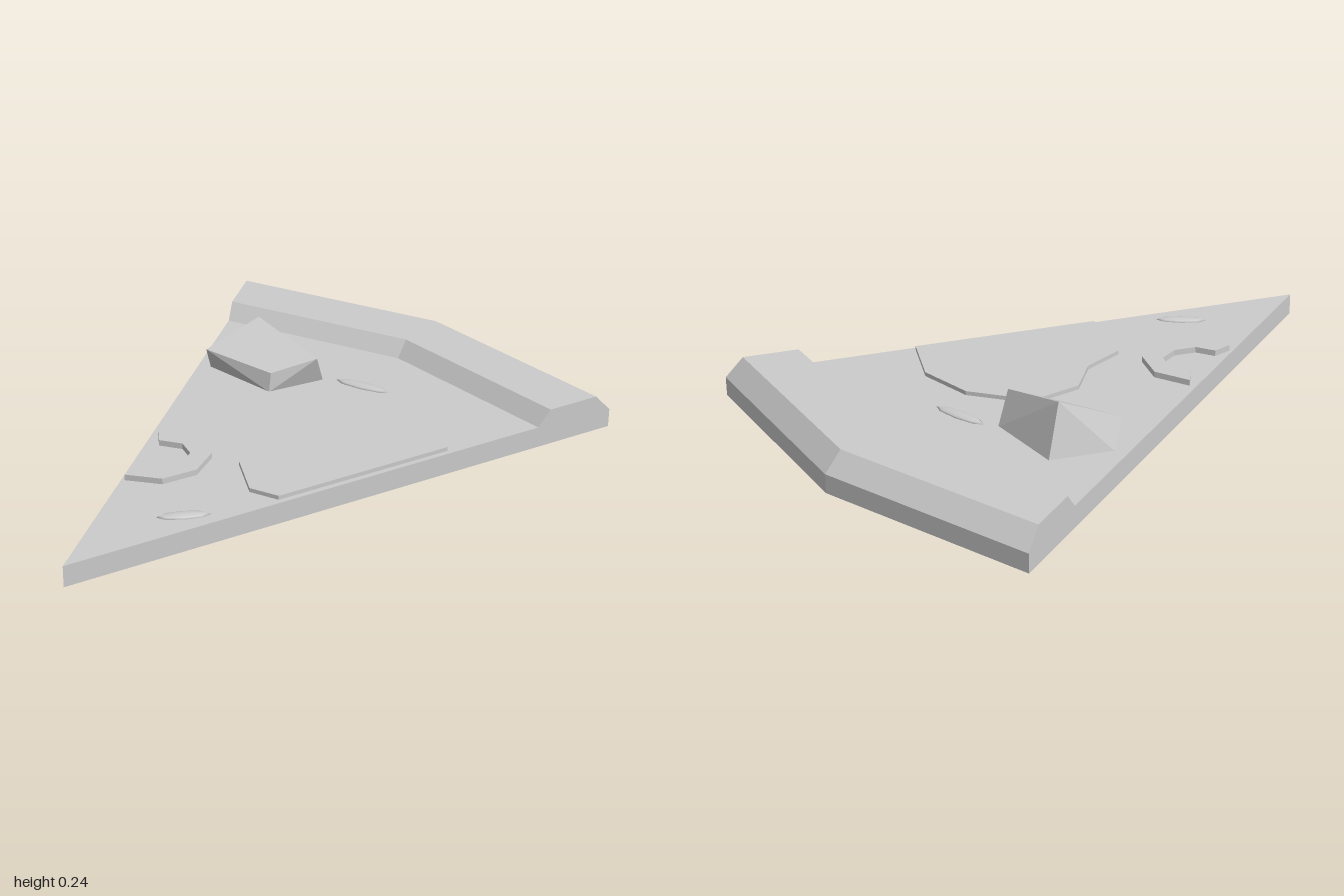
import * as THREE from 'three';
import { ConvexGeometry } from 'three/addons/geometries/ConvexGeometry.js';

const material = new THREE.MeshStandardMaterial({ color: 0xcccccc, flatShading: true });
const smooth = new THREE.MeshStandardMaterial({ color: 0xcccccc });
const TOP = 0.073; // height of the flat slice surface

// Sweep a counter-clockwise profile of [fraction from tip to rim, height] across three rays
function wedge(profile) {
  const rim = [[-0.76, -1.85], [0, -2], [0.76, -1.85]];
  const rings = rim.map(([rx, rz]) => profile.map(([s, y]) => [rx * s, y, 1 + rz * s]));
  const pos = [];
  const tri = (a, b, c) => pos.push(...a, ...b, ...c);
  const n = profile.length;
  for (let r = 0; r < 2; r++) {
    for (let i = 0; i < n; i++) {
      const j = (i + 1) % n;
      tri(rings[r][i], rings[r][j], rings[r + 1][j]);
      tri(rings[r][i], rings[r + 1][j], rings[r + 1][i]);
    }
  }
  // Cut sides
  const flat = profile.map(([s, y]) => new THREE.Vector2(s, y));
  for (const [a, b, c] of THREE.ShapeUtils.triangulateShape(flat, [])) {
    tri(rings[0][a], rings[0][c], rings[0][b]);
    tri(rings[2][a], rings[2][b], rings[2][c]);
  }
  const g = new THREE.BufferGeometry();
  g.setAttribute('position', new THREE.Float32BufferAttribute(pos, 3));
  g.computeVertexNormals();
  return g;
}

// Flat piece from an [x, z] outline, resting on the slice
function flatPiece(outline, top) {
  const bottom = TOP - 0.01;
  const shape = new THREE.Shape(outline.map(([x, z]) => new THREE.Vector2(x, -z)));
  return new THREE.ExtrudeGeometry(shape, { depth: top - bottom, bevelEnabled: false })
    .rotateX(-Math.PI / 2).translate(0, bottom, 0);
}

export function createModel() {
  const group = new THREE.Group();
  const add = (name, geometry, mat = material) => {
    const mesh = new THREE.Mesh(geometry, mat);
    mesh.name = name;
    group.add(mesh);
    return mesh;
  };

  add('sliceBase', wedge([[0, 0], [0.855, 0], [0.855, TOP], [0, TOP]]));
  add('crust', wedge([[0.855, 0], [1, 0], [1, 0.064], [0.97, 0.127], [0.878, 0.127], [0.855, TOP]]));

  // Broad flat topping
  add('flatTopping', flatPiece([
    [-0.063, -0.238], [0.127, -0.36], [0.323, -0.37], [0.503, -0.27], [0.265, 0.307],
    [0.164, 0.325], [0.032, 0.212], [0.01, 0.058], [-0.08, -0.063],
  ], 0.087));

  // Open ring of vegetable
  add('halfRing', flatPiece([
    [-0.296, 0.222], [-0.175, 0.18], [-0.063, 0.23], [-0.032, 0.344], [-0.08, 0.455], [-0.19, 0.508],
    [-0.19, 0.442], [-0.127, 0.413], [-0.098, 0.344], [-0.116, 0.275], [-0.175, 0.243], [-0.249, 0.272],
  ], 0.093));

  // Tilted chunk: four top corners, four corners sunk into the slice
  add('chunk', new ConvexGeometry([
    [-0.367, 0.243, -0.397], [-0.095, 0.178, -0.368], [-0.2, 0.138, -0.25], [-0.45, 0.165, -0.214],
    [-0.387, 0.071, -0.455], [-0.11, 0.071, -0.422], [-0.2, 0.071, -0.24], [-0.472, 0.071, -0.263],
  ].map((p) => new THREE.Vector3(...p))));

  // Slim herb leaves, half buried
  for (const [x, z, length, turn] of [[0.025, -0.465, 0.2, 0.16], [0.095, 0.56, 0.17, 0.79]]) {
    const leaf = add('herbLeaf', new THREE.SphereGeometry(1, 8, 6), smooth);
    leaf.scale.set(length / 2, 0.01, 0.024);
    leaf.rotation.y = turn;
    leaf.position.set(x, TOP, z);
  }
  return group;
}
